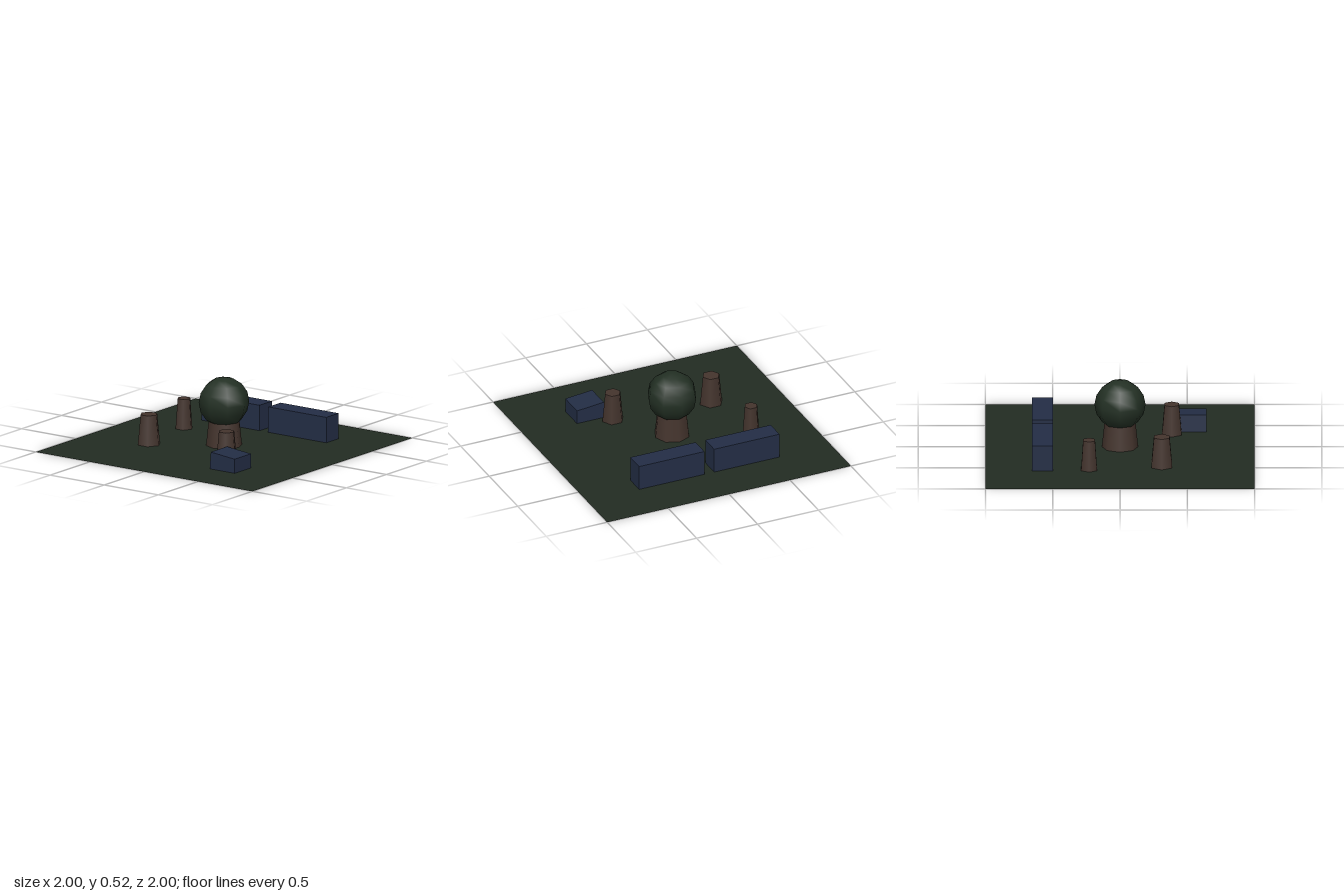
import * as THREE from 'three';

const paint = (name, color) => {
  const m = new THREE.MeshStandardMaterial({ color });
  m.name = name;
  return m;
};

export function createModel() {
  const group = new THREE.Group();
  const grass = paint('darkGrass', 0x222c22);
  const leaf = paint('leafGreen', 0x233024);
  const bark = paint('barkBrown', 0x44342d);
  const blue = paint('slateBlue', 0x232d45);
  grass.side = THREE.DoubleSide;

  const add = (name, geometry, material, x, y, z) => {
    const mesh = new THREE.Mesh(geometry, material);
    mesh.name = name;
    mesh.position.set(x, y, z);
    group.add(mesh);
    return mesh;
  };

  // Flat square of ground
  add('ground', new THREE.PlaneGeometry(2, 2).rotateX(-Math.PI / 2), grass, 0, 0, 0);

  // Central tree
  add('treeTrunk', new THREE.CylinderGeometry(0.116, 0.135, 0.185, 8), bark, 0, 0.0935, 0);
  add('treeCrown', new THREE.SphereGeometry(0.19, 8, 8), leaf, 0, 0.33, 0);

  // Tapered six-sided stumps: x, z, top radius, bottom radius
  for (const [x, z, top, bottom] of [
    [-0.31, -0.465, 0.067, 0.09],
    [0.23, -0.54, 0.051, 0.068],
    [-0.385, 0.307, 0.062, 0.084],
  ]) {
    add('stump', new THREE.CylinderGeometry(top, bottom, 0.23, 6), bark, x, 0.116, z);
  }

  // Two long blocks along the left side
  for (const side of [-1, 1]) {
    add('longBlock', new THREE.BoxGeometry(0.155, 0.195, 0.536), blue, 0.577, 0.0985, side * 0.308);
  }

  // Low block whose top slopes gently down to the front
  const low = new THREE.BoxGeometry(0.205, 0.13, 0.23);
  const p = low.attributes.position;
  for (let i = 0; i < p.count; i++) {
    if (p.getY(i) < 0) continue;
    if (p.getZ(i) > 0) p.setY(i, 0.043);
    else p.setZ(i, -0.105);
  }
  low.computeVertexNormals();
  add('lowBlock', low, blue, -0.542, 0.066, 0.459);

  return group;
}
